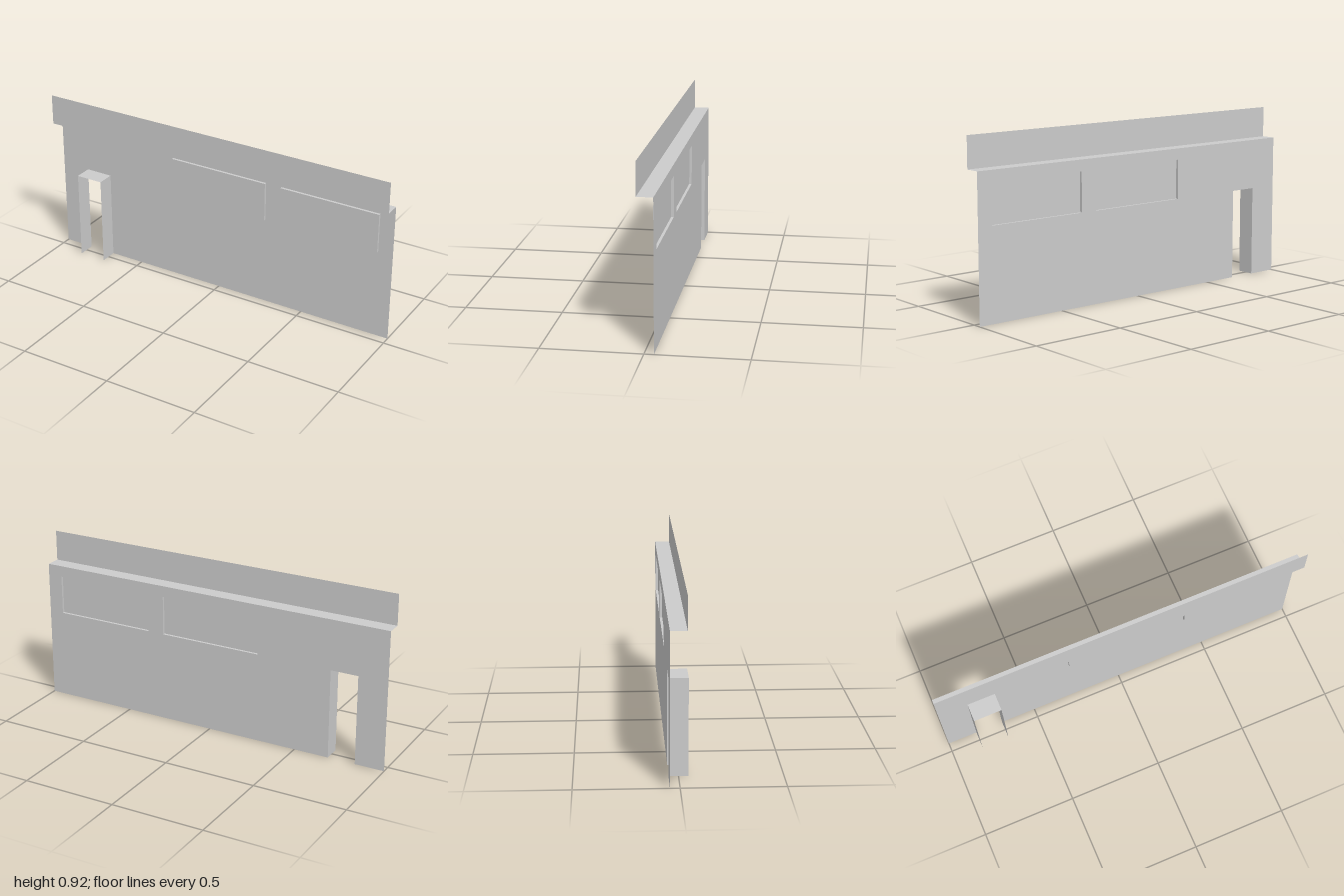
import * as THREE from 'three';

const material = new THREE.MeshStandardMaterial({ color: 0xcccccc, side: THREE.DoubleSide, flatShading: true });

const BACK = -0.0475;   // wall plane
const PANE = -0.034;    // window panes
const FASCIA = 0.033;   // upper band
const FRAME = 0.0475;   // outer edge of the doorway reveal
const LEDGE = 0.755;    // wall top
const TOP = 0.92;

const door = { x0: -0.84, x1: -0.69, y0: 0, y1: 0.485 };
const windows = [
  { x0: -0.28, x1: 0.28, y0: 0.485, y1: 0.695 },
  { x0: 0.37, x1: 0.92, y0: 0.485, y1: 0.695 },
];

function add(group, name, geometry) {
  const mesh = new THREE.Mesh(geometry, material);
  mesh.name = name;
  group.add(mesh);
  return mesh;
}

// Thin sheet facing the front
function frontSheet(group, name, r, z) {
  const g = new THREE.PlaneGeometry(r.x1 - r.x0, r.y1 - r.y0);
  add(group, name, g).position.set((r.x0 + r.x1) / 2, (r.y0 + r.y1) / 2, z);
}

// Horizontal sheet between two depths
function levelSheet(group, name, x0, x1, y, z0, z1) {
  const g = new THREE.PlaneGeometry(x1 - x0, z1 - z0).rotateX(-Math.PI / 2);
  add(group, name, g).position.set((x0 + x1) / 2, y, (z0 + z1) / 2);
}

// Upright sheet running from front to back
function sideSheet(group, name, x, y0, y1, z0, z1) {
  const g = new THREE.PlaneGeometry(z1 - z0, y1 - y0).rotateY(Math.PI / 2);
  add(group, name, g).position.set(x, (y0 + y1) / 2, (z0 + z1) / 2);
}

// Reveal around an opening: two jambs and a head, plus an optional sill
function reveal(group, r, z0, z1, withSill) {
  sideSheet(group, 'rightJamb', r.x0, r.y0, r.y1, z0, z1);
  sideSheet(group, 'leftJamb', r.x1, r.y0, r.y1, z0, z1);
  levelSheet(group, 'head', r.x0, r.x1, r.y1, z0, z1);
  if (withSill) levelSheet(group, 'sill', r.x0, r.x1, r.y0, z0, z1);
}

export function createModel() {
  const model = new THREE.Group();
  model.name = 'wallSection';

  // Wall sheet with a doorway notch and window openings
  const outline = [
    [-1, 0], [door.x0, 0], [door.x0, door.y1], [door.x1, door.y1],
    [door.x1, 0], [1, 0], [1, LEDGE], [-1, LEDGE],
  ].map(([x, y]) => new THREE.Vector2(x, y));
  const shape = new THREE.Shape(outline);
  for (const w of windows) {
    shape.holes.push(new THREE.Path([
      new THREE.Vector2(w.x0, w.y0), new THREE.Vector2(w.x0, w.y1),
      new THREE.Vector2(w.x1, w.y1), new THREE.Vector2(w.x1, w.y0),
    ]));
  }
  add(model, 'wall', new THREE.ShapeGeometry(shape)).position.z = BACK;

  // Ledge and upper band
  levelSheet(model, 'ledge', -1, 1, LEDGE, BACK, FASCIA);
  frontSheet(model, 'fascia', { x0: -1, x1: 1, y0: LEDGE, y1: TOP }, FASCIA);

  // Doorway reveal
  const doorway = new THREE.Group();
  doorway.name = 'doorway';
  reveal(doorway, door, BACK, FRAME, false);
  model.add(doorway);

  // Windows, set in from the back of the wall
  windows.forEach((w, i) => {
    const unit = new THREE.Group();
    unit.name = i ? 'leftWindow' : 'middleWindow';
    reveal(unit, w, BACK, PANE, true);
    frontSheet(unit, 'pane', w, PANE);
    model.add(unit);
  });

  return model;
}
